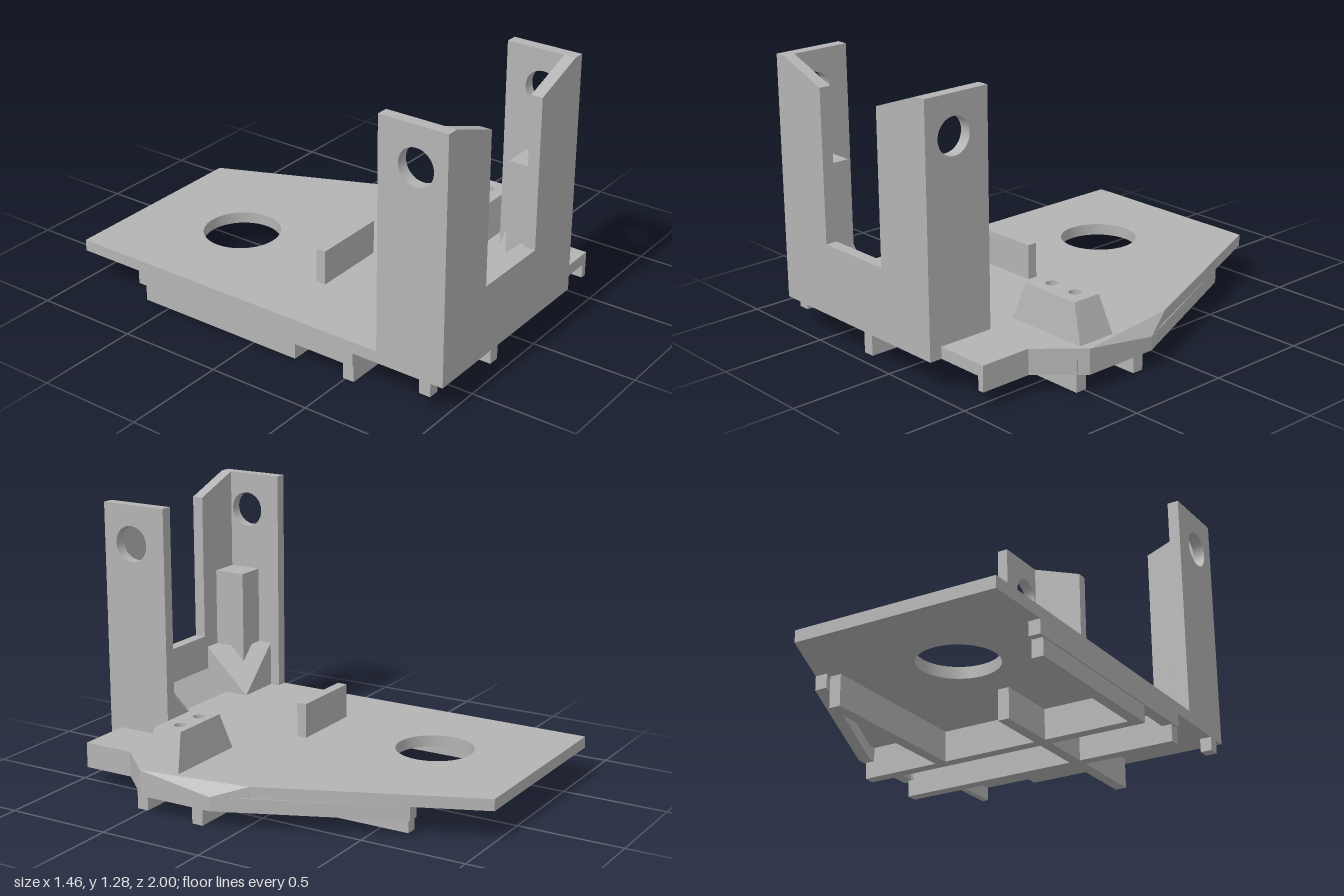
import * as THREE from 'three';
import { toCreasedNormals } from 'three/addons/utils/BufferGeometryUtils.js';
import { ConvexGeometry } from 'three/addons/geometries/ConvexGeometry.js';

const grey = new THREE.MeshStandardMaterial({ color: 0xb4b4b4 });
grey.name = 'grey';

export function createModel() {
  const model = new THREE.Group();

  const add = (name, geometry) => {
    const mesh = new THREE.Mesh(geometry, grey);
    mesh.name = name;
    model.add(mesh);
    return mesh;
  };

  // Box given by its limits on each axis
  const box = (name, x0, x1, y0, y1, z0, z1) =>
    add(name, new THREE.BoxGeometry(x1 - x0, y1 - y0, z1 - z0)
      .translate((x0 + x1) / 2, (y0 + y1) / 2, (z0 + z1) / 2));

  const hull = (name, points) =>
    add(name, new ConvexGeometry(points.map(p => new THREE.Vector3(...p))));

  // Extruded outline with round holes [x, y, radius]
  const extrude = (points, depth, holes = []) => {
    const shape = new THREE.Shape(points.map(p => new THREE.Vector2(...p)));
    for (const [x, y, r] of holes) {
      shape.holes.push(new THREE.Path().absarc(x, y, r, 0, Math.PI * 2, true));
    }
    return new THREE.ExtrudeGeometry(shape, { depth, bevelEnabled: false, curveSegments: 24 });
  };

  // Outline in x and z, laid flat with its upper face at yTop
  const slab = (points, yTop, depth, holes) =>
    extrude(points, depth, holes).rotateX(Math.PI / 2).translate(0, yTop, 0);

  const smooth = geometry => toCreasedNormals(geometry, 0.5);
  const screwHoles = [[0.395, 0.41, 0.028], [0.54, 0.41, 0.028]];

  // Base plate with the large round opening
  add('basePlate', smooth(slab([
    [-0.73, -1], [0.235, -1], [0.65, -0.03], [0.725, 0.5], [0.55, 0.69],
    [0.55, 0.94], [0.285, 0.94], [0.285, 1], [-0.73, 1],
  ], 0.2, 0.055, [[-0.22, -0.475, 0.182], ...screwHoles])));

  // Sloping corner on the plate's angled edge
  hull('slopedEdge', [
    [0.65, 0.2, -0.03], [0.65, 0.145, -0.03], [0.725, 0.145, 0.13],
    [0.725, 0.145, 0.5], [0.725, 0.2, 0.5],
  ]);

  // Rims under the plate's edges
  add('leftRim', slab([
    [0.376, -0.67], [0.725, 0.13], [0.725, 0.5], [0.55, 0.69], [0.55, 0.94],
    [0.52, 0.94], [0.52, 0.66], [0.67, 0.48], [0.67, 0.14], [0.317, -0.67],
  ], 0.145, 0.065));
  box('rightRim', -0.73, -0.675, 0.08, 0.145, -0.67, 0.545);
  box('cornerFoot', -0.73, -0.675, 0.08, 0.145, 0.885, 0.94);

  // Grid of stiffening ribs
  box('rearCrossRib', -0.722, 0.715, 0, 0.146, 0.175, 0.23);
  box('frontCrossRib', -0.722, 0.69, 0, 0.146, 0.49, 0.545);
  box('centreRib', -0.255, -0.2, 0, 0.146, -0.13, 0.935);
  box('rightRib', -0.722, -0.668, 0, 0.146, -0.635, 0.2);
  box('leftRib', 0.27, 0.325, 0, 0.146, -0.635, 0.2);

  // Upright front wall with a wide notch
  add('frontWall', extrude([
    [-0.73, 0.145], [0.285, 0.145], [0.285, 1.283], [0.23, 1.283], [-0.03, 1.19],
    [-0.03, 0.48], [-0.42, 0.48], [-0.42, 1.19], [-0.675, 1.283], [-0.73, 1.283],
  ], 0.055).translate(0, 0, 0.945));

  // Side walls with pivot holes, corner posts and gussets, mirrored about the wall's centre
  const middle = -0.2225;
  for (const side of [-1, 1]) {
    const name = side > 0 ? 'left' : 'right';
    const at = d => middle + side * d;
    const span = (a, b) => [Math.min(at(a), at(b)), Math.max(at(a), at(b))];

    const [, outer] = span(0.4525, 0.5075);
    add(name + 'SideWall', smooth(extrude(
      [[0.667, 0.145], [1, 0.145], [1, 1.283], [0.667, 1.283]], 0.055, [[0.85, 1.1, 0.085]],
    ).rotateY(-Math.PI / 2).translate(outer, 0, 0)));

    box(name + 'Post', ...span(0.3075, 0.4535), 0.195, 0.8, 0.785, 0.946);

    const near = at(0.2225), far = at(0.453);
    hull(name + 'Gusset', [
      [near, 0.199, 0.715], [far, 0.199, 0.715], [near, 0.199, 0.946], [far, 0.199, 0.946],
      [far, 0.42, 0.715], [near, 0.42, 0.946], [far, 0.42, 0.946],
    ]);
  }

  // Fillet along the foot of the front wall
  hull('wallFillet', [
    [-0.445, 0.199, 0.835], [0, 0.199, 0.835], [-0.445, 0.199, 0.946],
    [0, 0.199, 0.946], [-0.445, 0.31, 0.946], [0, 0.31, 0.946],
  ]);

  // Tapered mount with two screw holes: outer corners spread at the bottom
  const mount = slab(
    [[0.32, 0.35], [0.622, 0.35], [0.622, 0.492], [0.32, 0.492]], 0.374, 0.174, screwHoles);
  const p = mount.attributes.position;
  for (let i = 0; i < p.count; i++) {
    const dx = p.getX(i) - 0.471, dz = p.getZ(i) - 0.421;
    if (p.getY(i) < 0.21 && Math.abs(dx) > 0.14) {
      p.setX(i, 0.468 + Math.sign(dx) * 0.212);
      p.setZ(i, 0.42 + Math.sign(dz) * 0.095);
    }
  }
  add('screwMount', smooth(mount));

  // Small upright tab
  box('uprightTab', -0.405, -0.035, 0.195, 0.365, 0.107, 0.155);

  return model;
}
